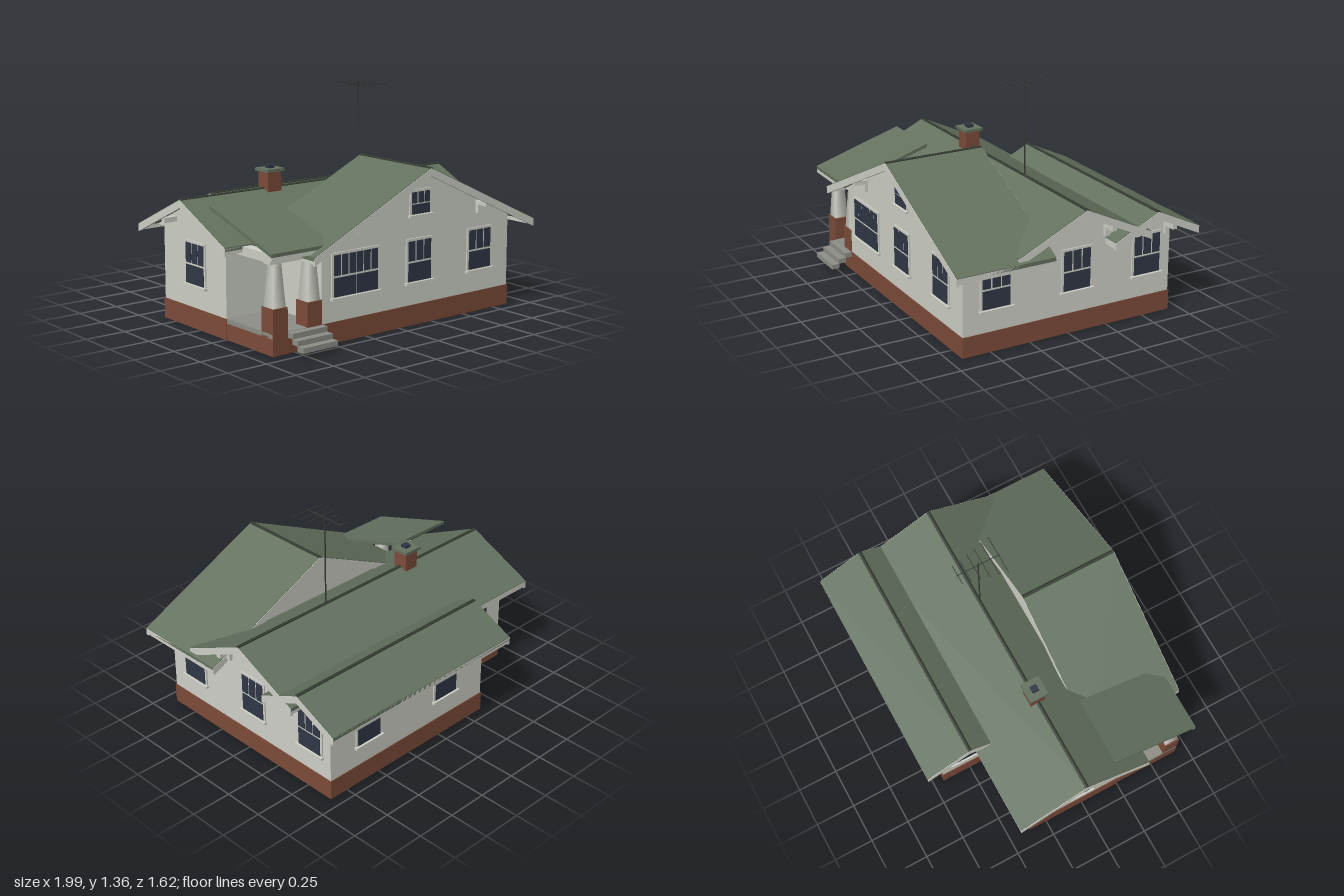
import * as THREE from 'three';

const mat = (name, color) => Object.assign(new THREE.MeshStandardMaterial({ color }), { name });

export function createModel() {
  const house = new THREE.Group();
  house.name = 'house';
  const wall = mat('pale wall', 0xcfd1c8);
  const brick = mat('brick', 0x7d4c3a);
  const roof = mat('green roof', 0x64725f);
  const cap = mat('dark ridge', 0x333a30);
  const glass = mat('window glass', 0x303746);
  const stone = mat('concrete', 0x8f8f88);
  const metal = mat('antenna metal', 0x3a3a3a);
  const SLOPE = 0.47;

  function add(name, geometry, material, parent = house) {
    const m = new THREE.Mesh(geometry, material);
    m.name = name;
    parent.add(m);
    return m;
  }
  // Box given by its minimum and maximum on each axis
  function box(name, material, x0, x1, y0, y1, z0, z1, parent = house) {
    const g = new THREE.BoxGeometry(x1 - x0, y1 - y0, z1 - z0);
    g.translate((x0 + x1) / 2, (y0 + y1) / 2, (z0 + z1) / 2);
    return add(name, g, material, parent);
  }
  // Cross-section extruded from a to b along x or z; points are [across, y]
  function prism(name, material, points, axis, a, b) {
    const along = axis === 'x';
    const s = new THREE.Shape(points.map(([u, y]) => new THREE.Vector2(along ? -u : u, y)));
    const g = new THREE.ExtrudeGeometry(s, { depth: b - a, bevelEnabled: false });
    g.translate(0, 0, a);
    if (along) g.rotateY(Math.PI / 2);
    return add(name, g, material);
  }
  const chevron = (c, top, half, drop, thick) => [
    [c - half, top - drop - half * SLOPE], [c - half, top - drop - thick - half * SLOPE],
    [c, top - drop - thick],
    [c + half, top - drop - thick - half * SLOPE], [c + half, top - drop - half * SLOPE],
    [c, top - drop],
  ];
  // Gabled roof with bargeboards, eave boards and a ridge strip
  function gableRoof(name, axis, c, top, half, a, b) {
    prism(name, roof, chevron(c, top, half, 0, 0.022), axis, a, b);
    for (const [s, e] of [[a - 0.003, a + 0.014], [b - 0.014, b + 0.003]])
      prism(name + ' bargeboard', wall, chevron(c, top, half, 0.004, 0.045), axis, s, e);
    const y = top - half * SLOPE;
    for (const s of [-1, 1]) {
      const u = c + s * (half - 0.006);
      if (axis === 'x') box(name + ' eave board', wall, a, b, y - 0.04, y - 0.004, u - 0.006, u + 0.006);
      else box(name + ' eave board', wall, u - 0.006, u + 0.006, y - 0.04, y - 0.004, a, b);
    }
    prism(name + ' ridge', cap, chevron(c, top + 0.004, 0.011, 0, 0.012), axis, a, b);
  }
  // Gabled wall block with its top under the roof
  function gableWall(name, axis, c, top, u0, u1, a, b) {
    const y = (u) => top - 0.02 - Math.abs(u - c) * SLOPE;
    prism(name, wall, [[u0, 0.12], [u1, 0.12], [u1, y(u1)], [c, y(c)], [u0, y(u0)]], axis, a, b);
  }

  // Brick base
  box('front base', brick, -0.565, 0.875, 0, 0.12, 0.2, 0.675);
  box('middle base', brick, -0.905, 0.875, 0, 0.12, -0.365, 0.255);
  box('rear base', brick, -0.375, 0.875, 0, 0.12, -0.685, -0.3);

  // Walls and roofs
  gableWall('front wing wall', 'z', 0.15, 0.925, -0.565, 0.87, 0.17, 0.67);
  gableWall('middle wall', 'x', -0.05, 0.76, -0.36, 0.25, -0.9, 0.87);
  gableWall('rear wall', 'x', -0.525, 0.665, -0.68, -0.36, -0.37, 0.87);
  gableRoof('front roof', 'z', 0.15, 0.925, 0.84, 0.155, 0.767);
  gableRoof('main roof', 'x', -0.05, 0.76, 0.43, -0.997, 0.972);
  gableRoof('rear roof', 'x', -0.525, 0.665, 0.285, -0.46, 0.972);

  // Gable brackets: a beam out of the wall with a post beneath
  for (const x of [-0.31, 0.61]) {
    box('front bracket beam', wall, x - 0.01, x + 0.01, 0.645, 0.67, 0.66, 0.755);
    box('front bracket post', wall, x - 0.01, x + 0.01, 0.595, 0.65, 0.66, 0.69);
  }
  for (const [z, y] of [[0.14, 0.625], [-0.24, 0.625], [-0.4, 0.56], [-0.65, 0.56]]) {
    box('side bracket beam', wall, 0.86, 0.96, y - 0.03, y, z - 0.015, z + 0.015);
    box('side bracket post', wall, 0.86, 0.89, y - 0.08, y - 0.03, z - 0.015, z + 0.015);
  }
  for (const z of [0.14, -0.24])
    box('left gable bracket', wall, -0.985, -0.89, 0.595, 0.625, z - 0.015, z + 0.015);
  // Rafter tails below the back eave
  for (const x of [-0.86, -0.755, -0.65, -0.54])
    box('rafter tail', wall, x - 0.008, x + 0.008, 0.535, 0.56, -0.465, -0.35);

  // Sash window: three upper panes over one lower pane, facing +z before turning
  function sash(parent, cx, w, h) {
    const pane = (w - 0.02) / 3;
    for (let i = 0; i < 3; i++) {
      const x = cx - w / 2 + i * (pane + 0.01);
      box('upper pane', glass, x, x + pane, h * 0.53, h, 0.007, 0.012, parent);
    }
    box('lower pane', glass, cx - w / 2, cx + w / 2, 0.01, h * 0.48, 0.007, 0.012, parent);
  }
  function windowAt(x, y, z, turn, w = 0.172, h = 0.245, units = 1) {
    const g = new THREE.Group();
    g.name = 'window';
    const total = units * w + (units - 1) * 0.008;
    box('window frame', wall, -total / 2 - 0.014, total / 2 + 0.014, 0, h + 0.014, -0.004, 0.008, g);
    for (let i = 0; i < units; i++) sash(g, (i - (units - 1) / 2) * (w + 0.008), w, h);
    box('window sill', wall, -total / 2 - 0.022, total / 2 + 0.022, -0.008, 0.006, -0.004, 0.022, g);
    g.position.set(x, y, z);
    g.rotation.y = turn;
    house.add(g);
  }
  const R = Math.PI / 2;
  windowAt(-0.325, 0.25, 0.67, 0, 0.153, 0.245, 2);
  windowAt(0.15, 0.25, 0.67, 0);
  windowAt(0.63, 0.25, 0.67, 0);
  windowAt(0.155, 0.64, 0.67, 0, 0.135, 0.137);
  for (const z of [0.465, -0.05, -0.52]) windowAt(0.87, 0.25, z, R);
  for (const x of [0.58, -0.05]) windowAt(x, 0.25, -0.68, 2 * R);
  windowAt(-0.68, 0.25, -0.36, 2 * R);
  windowAt(-0.9, 0.25, -0.04, -R);
  windowAt(-0.37, 0.25, -0.52, -R);

  // Porch floor, steps, piers, tapered columns and beams
  box('porch base', brick, -0.9, -0.565, 0, 0.095, 0.25, 0.67);
  box('porch floor', stone, -0.9, -0.565, 0.095, 0.122, 0.25, 0.672);
  for (let i = 0; i < 3; i++)
    box('porch step', stone, -0.8, -0.56, 0.09 - i * 0.03, 0.12 - i * 0.03, 0.67 + i * 0.045, 0.718 + i * 0.045);
  for (const x of [-0.85, -0.615]) {
    box('porch pier', brick, x - 0.05, x + 0.05, 0, 0.26, 0.575, 0.675);
    const g = new THREE.CylinderGeometry(0.036, 0.06, 0.25, 4);
    g.rotateY(Math.PI / 4);
    add('porch column', g, wall).position.set(x, 0.385, 0.625);
  }
  box('porch front beam', wall, -0.9, -0.565, 0.5, 0.55, 0.595, 0.655);
  box('porch side beam', wall, -0.88, -0.82, 0.5, 0.55, 0.24, 0.6);

  // Porch shed roof
  prism('porch roof', roof, [[0.165, 0.752], [0.165, 0.732], [0.725, 0.557], [0.725, 0.577]], 'x', -0.945, -0.52);
  box('porch eave board', wall, -0.943, -0.6, 0.535, 0.572, 0.712, 0.724);

  // Chimney
  box('chimney', brick, -0.415, -0.32, 0.6, 0.857, -0.097, -0.003);
  box('chimney cap', roof, -0.43, -0.305, 0.855, 0.872, -0.11, 0.01);
  box('chimney flue', glass, -0.388, -0.347, 0.87, 0.89, -0.07, -0.03);

  // Antenna
  box('antenna mast', metal, 0.297, 0.303, 0.7, 1.355, -0.053, -0.047);
  box('antenna boom', metal, 0.298, 0.302, 1.313, 1.318, -0.19, 0.09);
  for (let i = 0; i < 6; i++) {
    const z = -0.18 + i * 0.052, half = 0.06 + i * 0.0128;
    box('antenna rod', metal, 0.303 - half, 0.303 + half, 1.314, 1.318, z - 0.002, z + 0.002);
  }
  return house;
}
